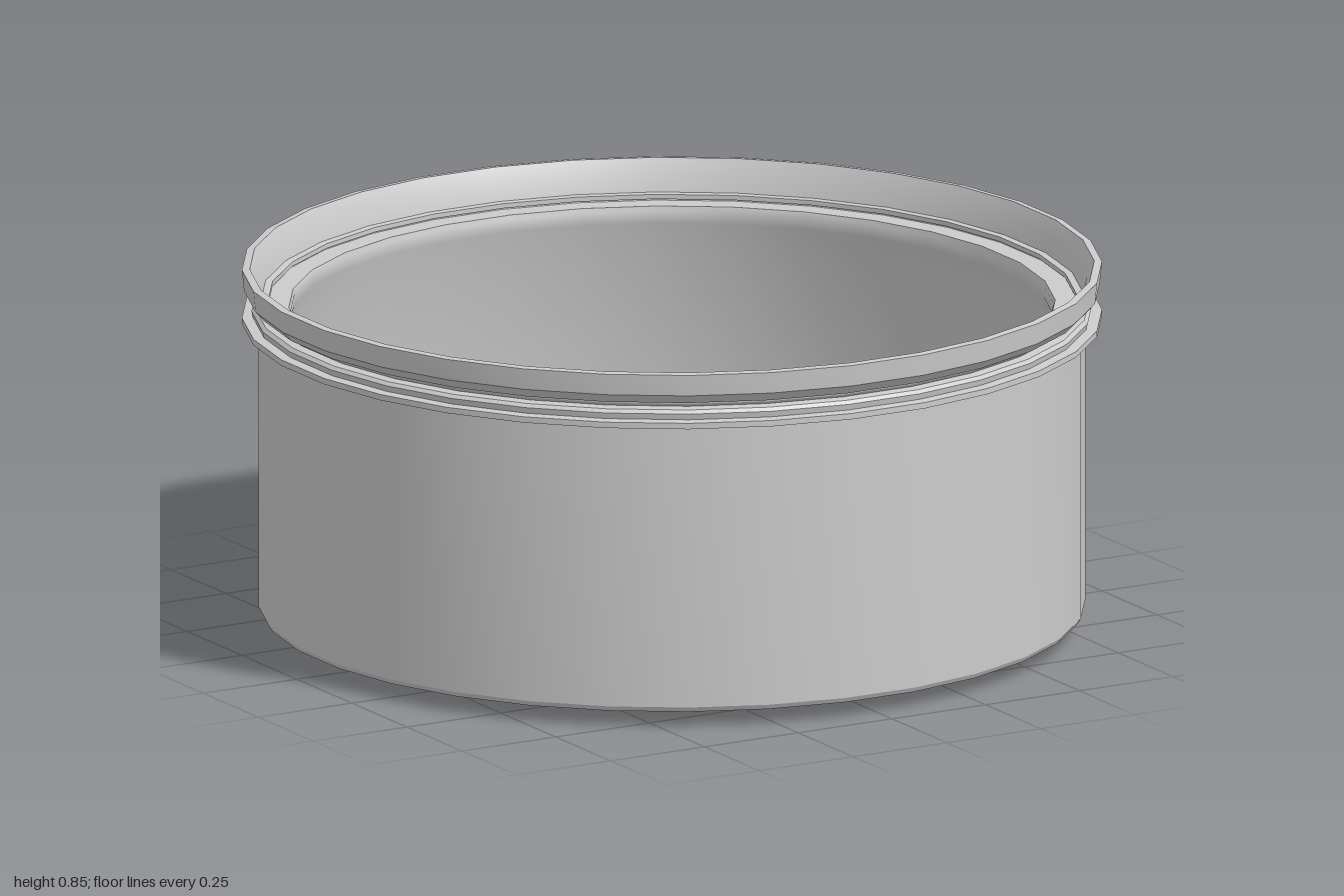
import * as THREE from 'three';
import { toCreasedNormals } from 'three/addons/utils/BufferGeometryUtils.js';
import { ParametricGeometry } from 'three/addons/geometries/ParametricGeometry.js';

const SIDES = 32;
const material = new THREE.MeshStandardMaterial({ color: 0xcccccc, side: THREE.DoubleSide });

function addMesh(group, name, geometry) {
  const mesh = new THREE.Mesh(toCreasedNormals(geometry, 0.5), material);
  mesh.name = name;
  group.add(mesh);
  return mesh;
}

// Ring turned from a profile of [radius, height] points, flats facing the axes
function turned(profile) {
  const points = profile.map(([r, y]) => new THREE.Vector2(r, y));
  return new THREE.LatheGeometry(points, SIDES, Math.PI / SIDES);
}

// Raised panel on the inner wall: rounded upper corners, closed ends
function linerPanel(from, to, bottom, top, inner, outer) {
  const columns = 36, corner = 0.04;
  const geometry = new ParametricGeometry((u, v, target) => {
    const i = Math.round(u * columns), row = Math.round(v * 2);
    const end = i === 0 || i === columns;
    // The first and last columns fold back to the wall
    const k = THREE.MathUtils.clamp((i - 1) / (columns - 2), 0, 1);
    const ease = k - 0.1 * Math.sin(2 * Math.PI * k); // denser near the ends
    const angle = THREE.MathUtils.lerp(from, to, ease);
    const gap = Math.min(angle - from, to - angle) * inner;
    const d = Math.max(0, corner - gap);
    const y = top - corner + Math.sqrt(corner * corner - d * d);
    const r = end || row === 2 ? outer : inner;
    target.set(r * Math.sin(angle), row === 0 ? bottom : y, r * Math.cos(angle));
  }, columns, 2);
  return geometry;
}

export function createModel() {
  const group = new THREE.Group();

  // Cup shell: floor with opening, wall, flange, groove, rim and inner ledge
  addMesh(group, 'shell', turned([
    [0.665, 0.065], [0.66, 0.05], [0.655, 0.0], [0.645, 0.0], [0.66, 0.0], [0.67, 0.015], [0.69, 0.04],
    [0.945, 0.038], [0.952, 0.05], [0.952, 0.715],
    [0.965, 0.72], [0.99, 0.722], [0.99, 0.736], [0.965, 0.738],
    [0.968, 0.752], [0.96, 0.76], [0.93, 0.764], [0.93, 0.775],
    [0.965, 0.778], [0.985, 0.8], [0.99, 0.85],
    [0.972, 0.852], [0.955, 0.815], [0.945, 0.77], [0.935, 0.76],
    [0.882, 0.76], [0.878, 0.75], [0.88, 0.72], [0.915, 0.64],
    [0.918, 0.06], [0.69, 0.06], [0.68, 0.072], [0.665, 0.065],
  ]));

  // Panel lining part of the inside wall
  const middle = -Math.PI / 2, degree = Math.PI / 180;
  addMesh(group, 'linerPanel',
    linerPanel(middle - 50 * degree, middle + 56 * degree, 0.058, 0.58, 0.887, 0.925));

  // Pair of small round studs on the panel
  for (const offset of [2, 9]) {
    const angle = middle + offset * degree;
    const stud = addMesh(group, 'stud', new THREE.CylinderGeometry(0.042, 0.042, 0.02, 16).rotateX(Math.PI / 2));
    stud.position.set(0.885 * Math.sin(angle), 0.35, 0.885 * Math.cos(angle));
    stud.rotation.y = angle;
  }
  return group;
}
